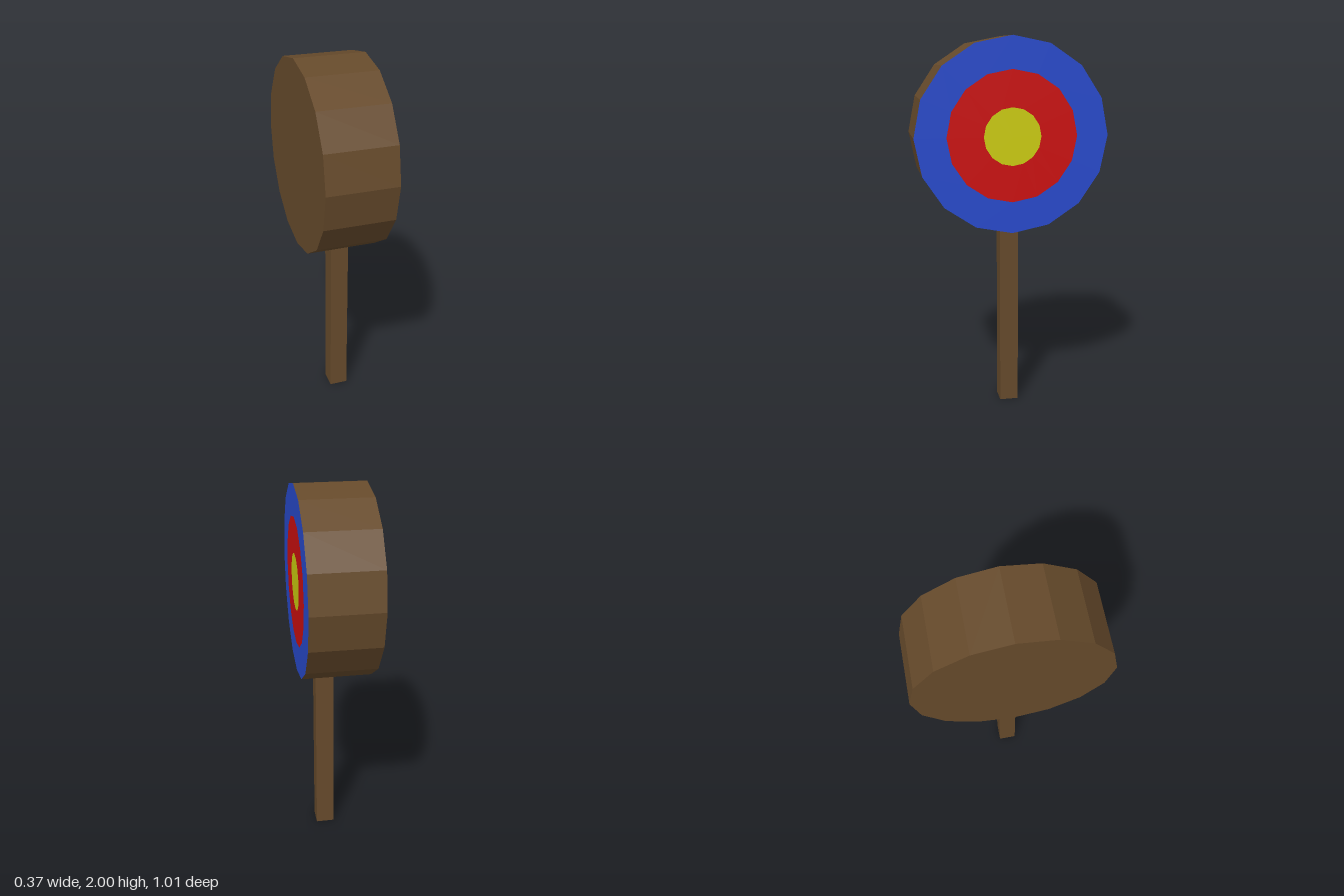
import * as THREE from 'three';

const SIDES = 16, RADIUS = 0.505, HALF_WIDTH = 0.185, CENTRE_Y = 1.495;

function material(name, color, extra = {}) {
  const m = new THREE.MeshStandardMaterial({ color, ...extra });
  m.name = name;
  return m;
}

export function createModel() {
  const wood = material('brown wood', 0x664a2b, { flatShading: true, side: THREE.DoubleSide });
  const blue = material('blue paint', 0x284acc);
  const red = material('red paint', 0xcc1010);
  const yellow = material('yellow paint', 0xcccc10);

  const model = new THREE.Group();
  model.name = 'archeryTarget';

  function add(parent, name, geometry, mat) {
    const mesh = new THREE.Mesh(geometry, mat);
    mesh.name = name;
    parent.add(mesh);
    return mesh;
  }

  // Square post, open at the bottom and slightly off centre
  const postGeometry = new THREE.CylinderGeometry(0.05 * Math.SQRT2, 0.05 * Math.SQRT2, 1.01, 4, 1, true);
  postGeometry.rotateY(Math.PI / 4);
  add(model, 'post', postGeometry, wood).position.set(0.04, 0.505, 0);

  // Target drum, its axis along x
  const target = new THREE.Group();
  target.name = 'target';
  target.position.y = CENTRE_Y;
  model.add(target);

  const rim = new THREE.CylinderGeometry(RADIUS, RADIUS, HALF_WIDTH * 2, SIDES, 1, true);
  add(target, 'drumRim', rim.rotateZ(-Math.PI / 2), wood);

  const back = new THREE.CircleGeometry(RADIUS, SIDES).rotateY(-Math.PI / 2);
  add(target, 'drumBack', back, wood).position.x = -HALF_WIDTH;

  // Painted rings that together close the target face
  const rings = [
    ['outerRing', 0.34, RADIUS, blue],
    ['middleRing', 0.15, 0.34, red],
    ['bullseye', 0, 0.15, yellow],
  ];
  for (const [name, inner, outer, mat] of rings) {
    const geometry = inner > 0
      ? new THREE.RingGeometry(inner, outer, SIDES)
      : new THREE.CircleGeometry(outer, SIDES);
    add(target, name, geometry.rotateY(Math.PI / 2), mat).position.x = HALF_WIDTH;
  }

  return model;
}
